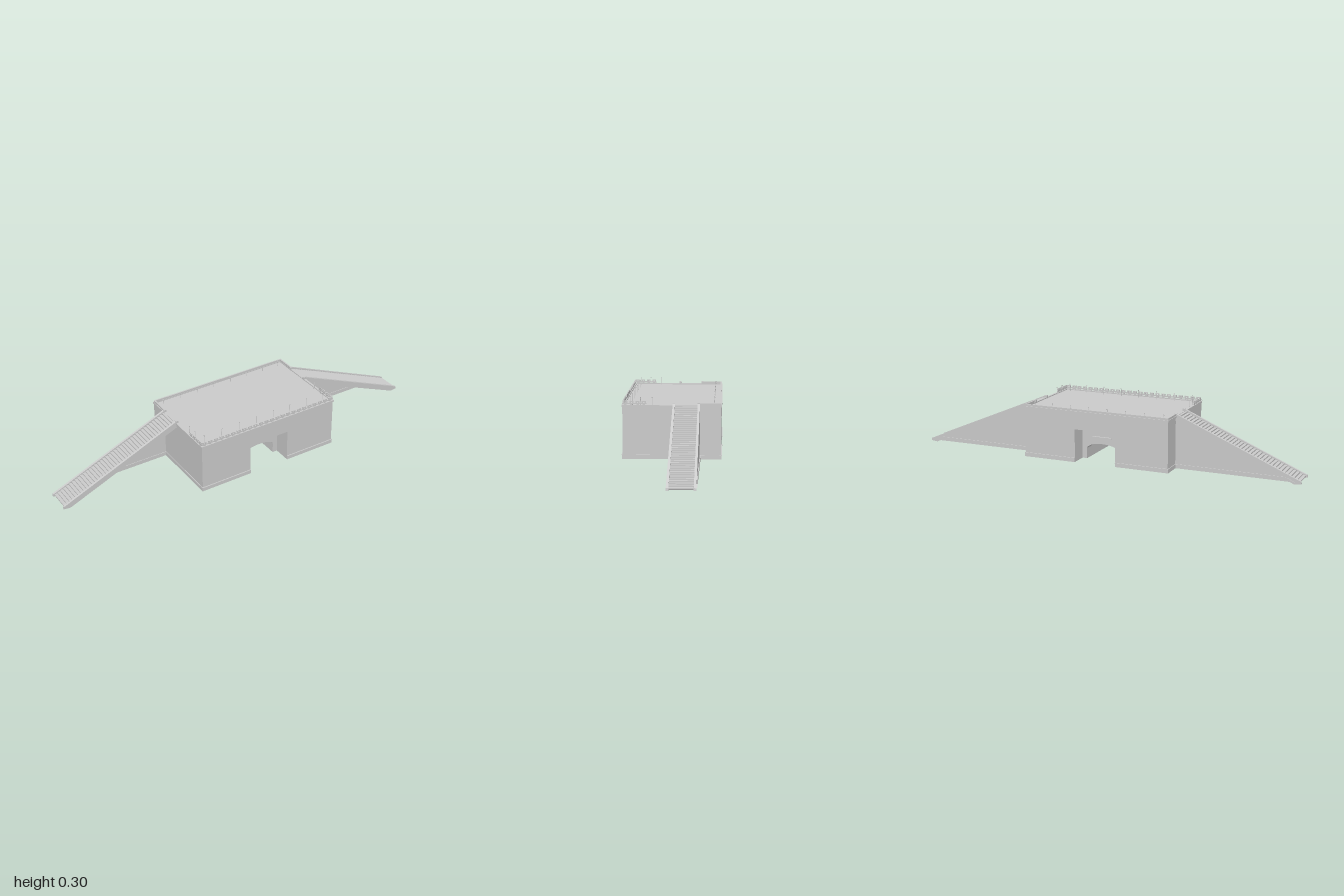
import * as THREE from 'three';

const mat = new THREE.MeshStandardMaterial({ color: 0xcccccc, side: THREE.DoubleSide, flatShading: true });
const W = 0.38, D = 0.232, T = 0.006;      // half width, half depth, wall thickness
const Y0 = 0.01, Y1 = 0.262;               // foot and deck level
const GATE = 0.108, GATE_TOP = 0.175;      // gate recess half width and height
const INNER = 0.143;                       // z of the recessed gate wall

export function createModel() {
  const root = new THREE.Group();
  root.name = 'gatehouse';

  const add = (name, geo, x = 0, y = 0, z = 0) => {
    const m = new THREE.Mesh(geo, mat);
    m.name = name;
    m.position.set(x, y, z);
    root.add(m);
    return m;
  };
  // box given by its limits
  const box = (name, x0, x1, y0, y1, z0, z1) =>
    add(name, new THREE.BoxGeometry(Math.abs(x1 - x0), y1 - y0, Math.abs(z1 - z0)),
      (x0 + x1) / 2, (y0 + y1) / 2, (z0 + z1) / 2);
  // polygon in x-y, extruded from z0 to z1
  const slab = (name, pts, z0, z1) => {
    const shape = new THREE.Shape(pts.map(p => new THREE.Vector2(p[0], p[1])));
    return add(name, new THREE.ExtrudeGeometry(shape, { depth: z1 - z0, bevelEnabled: false }), 0, 0, z0);
  };

  // arch outline from right foot over the crown to the left foot
  const arch = (r, top) => {
    const pts = [[r, Y0]];
    for (let i = 0; i <= 20; i++) {
      const a = Math.PI * i / 20;
      pts.push([r * Math.cos(a), 0.062 + (top - 0.062) * Math.sin(a)]);
    }
    pts.push([-r, Y0]);
    return pts;
  };

  // Deck and hollow body
  box('deck', -W, W, Y1 - T, Y1, -D, D);
  for (const s of [-1, 1]) {
    box('sideWall', s * W, s * (W - T), Y0, Y1, -D, D);
    const z0 = s > 0 ? D - T : -D;
    slab('longWall', [[-W, Y0], [-GATE, Y0], [-GATE, GATE_TOP], [GATE, GATE_TOP],
      [GATE, Y0], [W, Y0], [W, Y1], [-W, Y1]], z0, z0 + T);

    // Gate recess: jambs, soffit, arched back wall, lintel plaque
    for (const t of [-1, 1]) box('gateJamb', t * GATE, t * (GATE + 0.004), Y0, GATE_TOP, s * INNER, s * D);
    box('gateSoffit', -GATE, GATE, GATE_TOP, GATE_TOP + 0.004, s * INNER, s * D);
    const zi = s > 0 ? INNER - 0.004 : -INNER;
    slab('archWall', [[GATE, Y0], [GATE, GATE_TOP], [-GATE, GATE_TOP], [-GATE, Y0],
      ...arch(0.083, 0.09).reverse()], zi, zi + 0.004);
    box('gatePlaque', -0.05, 0.05, 0.12, 0.127, s * INNER, s * (INNER + 0.01));

    // Plinth with a gap at the gate, cornice
    for (const t of [-1, 1]) {
      box('plinth', t * GATE, t * (W + 0.003), Y0, 0.028, s * (D - T), s * (D + 0.003));
      box('plinthCap', t * GATE, t * (W + 0.004), 0.028, 0.031, s * (D - T), s * (D + 0.005));
    }
    box('sidePlinth', s * (W - T), s * (W + 0.003), Y0, 0.03, -D, D);
    box('longCornice', -W - 0.003, W + 0.003, 0.258, 0.267, s * (D - 0.008), s * (D + 0.004));
    box('sideCornice', s * (W - 0.008), s * (W + 0.003), 0.258, 0.267, -D, D);
  }

  // Vaulted passage
  slab('vault', [...arch(0.087, 0.094), ...arch(0.083, 0.09).reverse()], -INNER, INNER);

  // Low parapet at the back
  box('backParapet', -W, W, 0.267, 0.277, -D, -D + 0.007);
  for (const s of [-1, 1]) box('backSideParapet', s * W, s * (W - 0.007), 0.267, 0.277, -D, -0.132);

  // Battlements: footed band with pierced merlons
  const battlement = (n, length) => {
    const p = length / n, shape = new THREE.Shape();
    shape.moveTo(0, 0.271);
    for (let i = 0; i < n; i++) {
      const x = i * p, a = x + p * 0.3, b = x + p * 0.7;
      shape.lineTo(a, 0.271); shape.lineTo(a, 0.265);
      shape.lineTo(b, 0.265); shape.lineTo(b, 0.271);
    }
    shape.lineTo(length, 0.271);
    for (let i = n - 1; i >= 0; i--) {
      const a = i * p + p * 0.17, b = i * p + p * 0.83;
      shape.lineTo(b, 0.277); shape.lineTo(b, 0.286);
      shape.lineTo(a, 0.286); shape.lineTo(a, 0.277);
      const c = (a + b) / 2, h = 0.003, hole = new THREE.Path();
      hole.moveTo(c - h, 0.277); hole.lineTo(c - h, 0.282);
      hole.lineTo(c + h, 0.282); hole.lineTo(c + h, 0.277);
      shape.holes.push(hole);
    }
    shape.lineTo(0, 0.277);
    return new THREE.ExtrudeGeometry(shape, { depth: 0.005, bevelEnabled: false });
  };
  add('frontBattlement', battlement(24, 2 * W), -W, 0, D - 0.005);
  for (const x of [-W, W - 0.005])
    add('sideBattlement', battlement(4, 0.116), x, 0, D).rotation.y = Math.PI / 2;

  // Lamp posts along the deck edges
  const post = (x, z, top) => {
    add('lampPost', new THREE.CylinderGeometry(0.0012, 0.0012, top - Y1, 6), x, (top + Y1) / 2, z);
    add('lampHead', new THREE.CylinderGeometry(0.003, 0.002, 0.004, 6), x, top - 0.002, z);
  };
  for (let i = 0; i < 8; i++) {
    const x = -0.345 + i * 0.098;
    post(x, -0.2, 0.285);
    post(x, 0.195, 0.302);
  }
  for (const x of [-0.365, 0.365]) for (const z of [0.147, 0.092]) post(x, z, 0.302);

  // Stair ramps on both ends
  const N = 40, XA = W, XB = 0.993, YA = 0.265, YB = 0.009;
  for (const s of [-1, 1]) {
    const steps = [[s * XA, YA - 0.016], [s * XA, YA]];
    for (let i = 0; i < N; i++) {
      const x = XA + (XB - XA) * (i + 1) / N;
      steps.push([s * x, YA + (YB - YA) * i / N], [s * x, YA + (YB - YA) * (i + 1) / N]);
    }
    steps.push([s * (XB - 0.01), 0.004]);
    slab('stairs', steps, -0.124, -0.014);

    // Curbs either side and their top posts
    for (const z of [-0.133, -0.016]) {
      slab('stairCurb', [[s * XA, 0.243], [s * XA, 0.277], [s * 0.998, 0.016],
        [s, 0.004], [s * 0.985, 0.002], [s * 0.965, 0]], z, z + 0.011);
      box('curbPost', s * (W - 0.01), s * (W + 0.004), Y1, 0.278, z, z + 0.011);
    }

    // Wall carrying the back edge of the stair
    slab('stairWall', [[s * W, Y0], [s * W, 0.25], [s * 0.965, Y0]], -0.132, -0.127);
    slab('stairWallPlinth', [[s * W, Y0], [s * W, 0.03], [s * 0.925, 0.03], [s * 0.97, Y0]], -0.136, -0.124);
  }
  return root;
}
